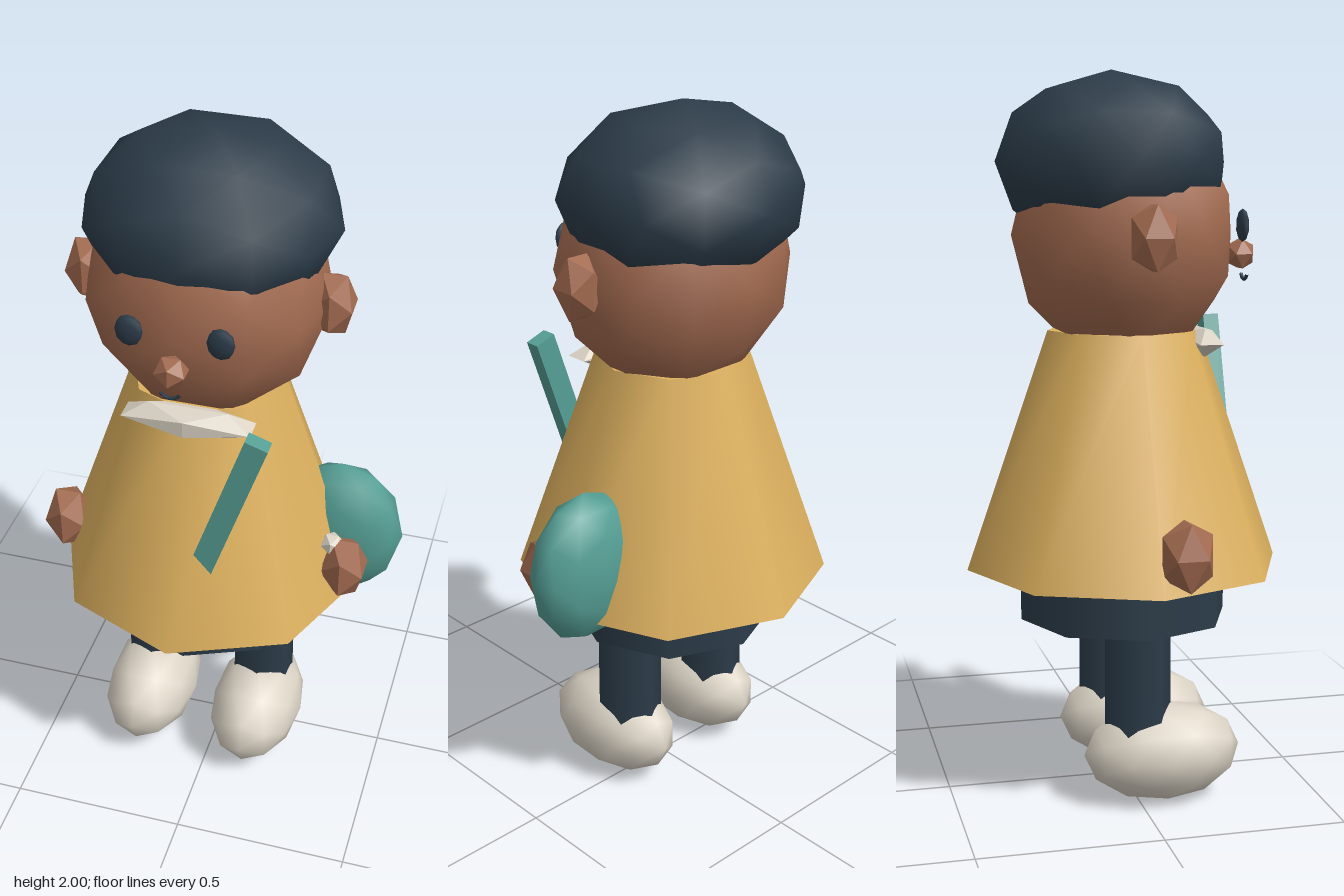
import * as THREE from 'three';

const mat = (name, color) => Object.assign(new THREE.MeshStandardMaterial({ color }), { name });

export function createModel() {
  const skin = mat('skin', 0xa36b50);
  const gold = mat('gold', 0xdcb05e);
  const navy = mat('navy', 0x2c3c49);
  const cream = mat('cream', 0xdcd4c6);
  const teal = mat('teal', 0x559f95);

  const model = new THREE.Group();
  model.name = 'figure';
  const cx = -0.04; // body axis

  const add = (name, geometry, material, x, y, z) => {
    const mesh = new THREE.Mesh(geometry, material);
    mesh.name = name;
    mesh.position.set(x, y, z);
    model.add(mesh);
    return mesh;
  };
  // Rounded blob: detail 1 is smooth, detail 0 is a faceted gem
  const blob = (name, material, pos, radii, detail = 1) => {
    const mesh = add(name, new THREE.IcosahedronGeometry(1, detail), material, ...pos);
    mesh.scale.set(...radii);
    return mesh;
  };
  const gem = (name, material, pos, radii) => blob(name, material, pos, radii, 0);
  const tube = (name, material, rTop, rBottom, y0, y1, sides, x) =>
    add(name, new THREE.CylinderGeometry(rTop, rBottom, y1 - y0, sides), material, x, (y0 + y1) / 2, 0);

  // Body
  tube('coat', gold, 0.215, 0.445, 0.64, 1.3, 8, cx);
  tube('hips', navy, 0.295, 0.295, 0.49, 0.72, 8, cx);

  // Head and hair
  blob('head', skin, [cx, 1.56, -0.003], [0.335, 0.35, 0.31]);
  blob('hair', navy, [cx, 1.755, -0.035], [0.346, 0.245, 0.32]);
  gem('nose', skin, [cx, 1.503, 0.335], [0.047, 0.047, 0.044]);
  const mouth = add('mouth', new THREE.TorusGeometry(0.03, 0.005, 6, 10, 2.1), navy, cx, 1.462, 0.347);
  mouth.rotation.z = -Math.PI / 2 - 1.05;

  // Mirrored parts
  for (const s of [-1, 1]) {
    const side = s > 0 ? 'left' : 'right';
    blob(side + 'Eye', navy, [cx + s * 0.119, 1.585, 0.303], [0.037, 0.045, 0.015]);
    gem(side + 'Ear', skin, [cx + s * 0.333, 1.56, 0], [0.065, 0.1, 0.071]);
    gem(side + 'Hand', skin, [cx + s * 0.413, 0.745, 0.07], [0.071, 0.106, 0.08]);
    const legX = cx + s * 0.168;
    tube(side + 'Leg', navy, 0.093, 0.093, 0.2, 0.52, 6, legX);
    blob(side + 'Shoe', cream, [legX, 0.138, 0.07], [0.137, 0.138, 0.222]);
  }

  // Collar, strap and bag
  gem('collar', cream, [cx, 1.267, 0.203], [0.208, 0.045, 0.062]);
  const strap = add('strap', new THREE.BoxGeometry(0.065, 0.6, 0.045), teal, 0.081, 1.026, 0.307);
  strap.rotation.z = -0.33;
  blob('bag', teal, [0.335, 0.788, -0.053], [0.18, 0.222, 0.098]);
  gem('clasp', cream, [0.335, 0.815, 0.065], [0.035, 0.035, 0.035]);

  return model;
}
